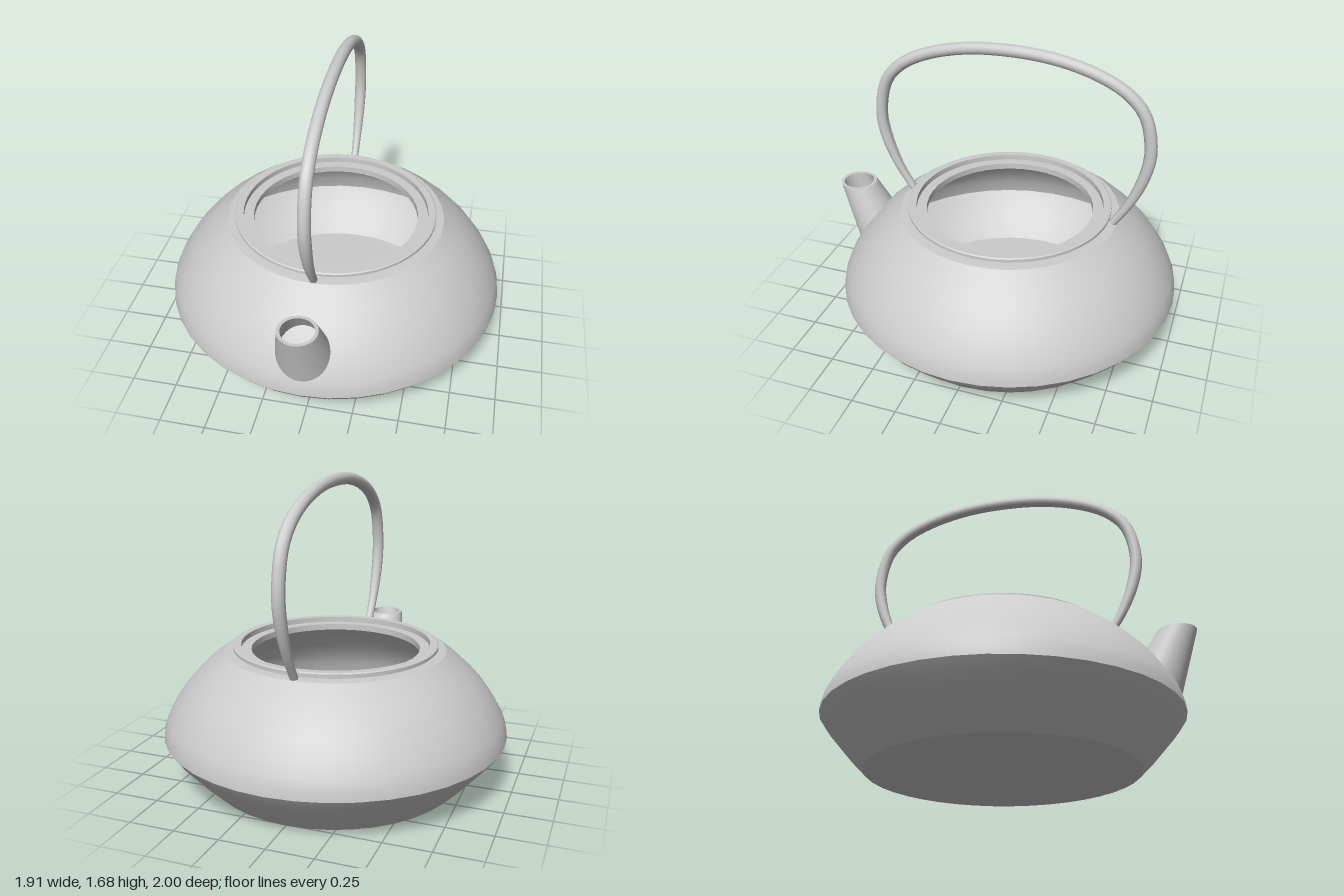
import * as THREE from 'three';
import { toCreasedNormals } from 'three/addons/utils/BufferGeometryUtils.js';

const material = new THREE.MeshStandardMaterial({ color: 0xcccccc, side: THREE.DoubleSide });
const CENTER_Z = -0.043;

// Outer wall, [radius, height]: lower bowl, sharp belly edge, upper shoulder
const LOWER = [[0.715, 0], [0.795, 0.08], [0.87, 0.165], [0.92, 0.222], [0.955, 0.27]];
const UPPER = [[0.95, 0.315], [0.93, 0.37], [0.888, 0.445], [0.838, 0.518], [0.77, 0.595], [0.695, 0.665], [0.61, 0.73]];
const WALL = [...LOWER, ...UPPER];

function wallRadius(y) {
  for (let i = 1; i < WALL.length; i++) {
    const [r0, y0] = WALL[i - 1], [r1, y1] = WALL[i];
    if (y <= y1) return r0 + (r1 - r0) * (y - y0) / (y1 - y0);
  }
  return 0.6;
}

function add(parent, name, geometry) {
  const mesh = new THREE.Mesh(geometry, material);
  mesh.name = name;
  parent.add(mesh);
  return mesh;
}

function lathe(points, sides, crease) {
  const profile = points.map(([r, y]) => new THREE.Vector2(r, y));
  return toCreasedNormals(new THREE.LatheGeometry(profile, sides), crease);
}

// Closed surface from rings of points
function loft(rings) {
  const n = rings[0].length, index = [];
  for (let j = 0; j < rings.length - 1; j++) {
    for (let i = 0; i < n; i++) {
      const a = j * n + i, b = j * n + (i + 1) % n;
      index.push(a, a + n, b, b, a + n, b + n);
    }
  }
  const geometry = new THREE.BufferGeometry().setFromPoints(rings.flat());
  geometry.setIndex(index);
  return toCreasedNormals(geometry, 0.7);
}

// Slanted spout cone, its foot cut to lie within the body wall
function spoutGeometry() {
  const sides = 32, steps = 6;
  const point = (angle, y, inset) => {
    const drop = 0.715 - y;
    const r = 0.104 + drop * 0.175 - inset;
    return new THREE.Vector3(r * Math.sin(angle), y, 0.896 - drop * 0.475 + r * Math.cos(angle));
  };
  const foot = (angle, inset) => {
    let y = 0.715;
    for (; y > 0.3; y -= 0.004) {
      const p = point(angle, y, inset);
      if (Math.hypot(p.x, p.z - CENTER_Z) < wallRadius(y) - 0.012) break;
    }
    return y;
  };
  const ring = (t, inset) => Array.from({ length: sides }, (_, i) => {
    const angle = i / sides * Math.PI * 2;
    return point(angle, THREE.MathUtils.lerp(foot(angle, inset), 0.715, t), inset);
  });
  const rings = [];
  for (let j = 0; j <= steps; j++) rings.push(ring(j / steps, 0));
  for (let j = steps; j >= 0; j--) rings.push(ring(j / steps, 0.018));
  // Wind so that the outside of the cone faces outward
  return loft(rings.map(r => r.reverse()));
}

// Bail handle: a tube narrowed toward both feet
function handleGeometry() {
  const half = [[0.585, 0.735], [0.665, 0.87], [0.73, 1.04], [0.752, 1.19], [0.708, 1.39], [0.615, 1.495], [0.47, 1.572], [0.25, 1.63]];
  const side = half.map(([z, y]) => new THREE.Vector3(0, y, z));
  const mirrored = side.map(p => new THREE.Vector3(0, p.y, -p.z)).reverse();
  const curve = new THREE.CatmullRomCurve3([...side, new THREE.Vector3(0, 1.648, 0), ...mirrored]);
  const segments = 56, radial = 14;
  const geometry = new THREE.TubeGeometry(curve, segments, 0.033, radial);
  const pos = geometry.attributes.position, v = new THREE.Vector3();
  for (let i = 0; i < pos.count; i++) {
    const u = Math.floor(i / (radial + 1)) / segments;
    const c = curve.getPointAt(u);
    const k = 0.66 + 0.34 * THREE.MathUtils.smoothstep(Math.min(u, 1 - u), 0, 0.14);
    v.fromBufferAttribute(pos, i).sub(c).multiplyScalar(k).add(c);
    pos.setXYZ(i, v.x, v.y, v.z);
  }
  geometry.computeVertexNormals();
  return toCreasedNormals(geometry, 1);
}

export function createModel() {
  const group = new THREE.Group();
  group.name = 'kettle';

  const pot = new THREE.Group();
  pot.name = 'pot';
  pot.position.z = CENTER_Z;
  group.add(pot);

  // Hollow shell: base, outer wall, then the inside back down to the floor
  const inside = [[0.465, 0.7], [0.59, 0.7], [0.68, 0.635], [0.755, 0.565], [0.815, 0.495], [0.865, 0.425],
    [0.905, 0.35], [0.925, 0.27], [0.895, 0.225], [0.845, 0.165], [0.77, 0.085], [0.7, 0.03], [0, 0.03]];
  add(pot, 'body', lathe([[0, 0], ...WALL, [0.555, 0.735], [0.465, 0.735], ...inside], 40, 0.5));

  // Raised rim around the lid seat
  add(pot, 'rim', lathe([[0.555, 0.733], [0.555, 0.744], [0.566, 0.746], [0.566, 0.76], [0.56, 0.765],
    [0.52, 0.765], [0.52, 0.733]], 64, 0.5));

  add(pot, 'handle', handleGeometry());
  add(group, 'spout', spoutGeometry());
  return group;
}
